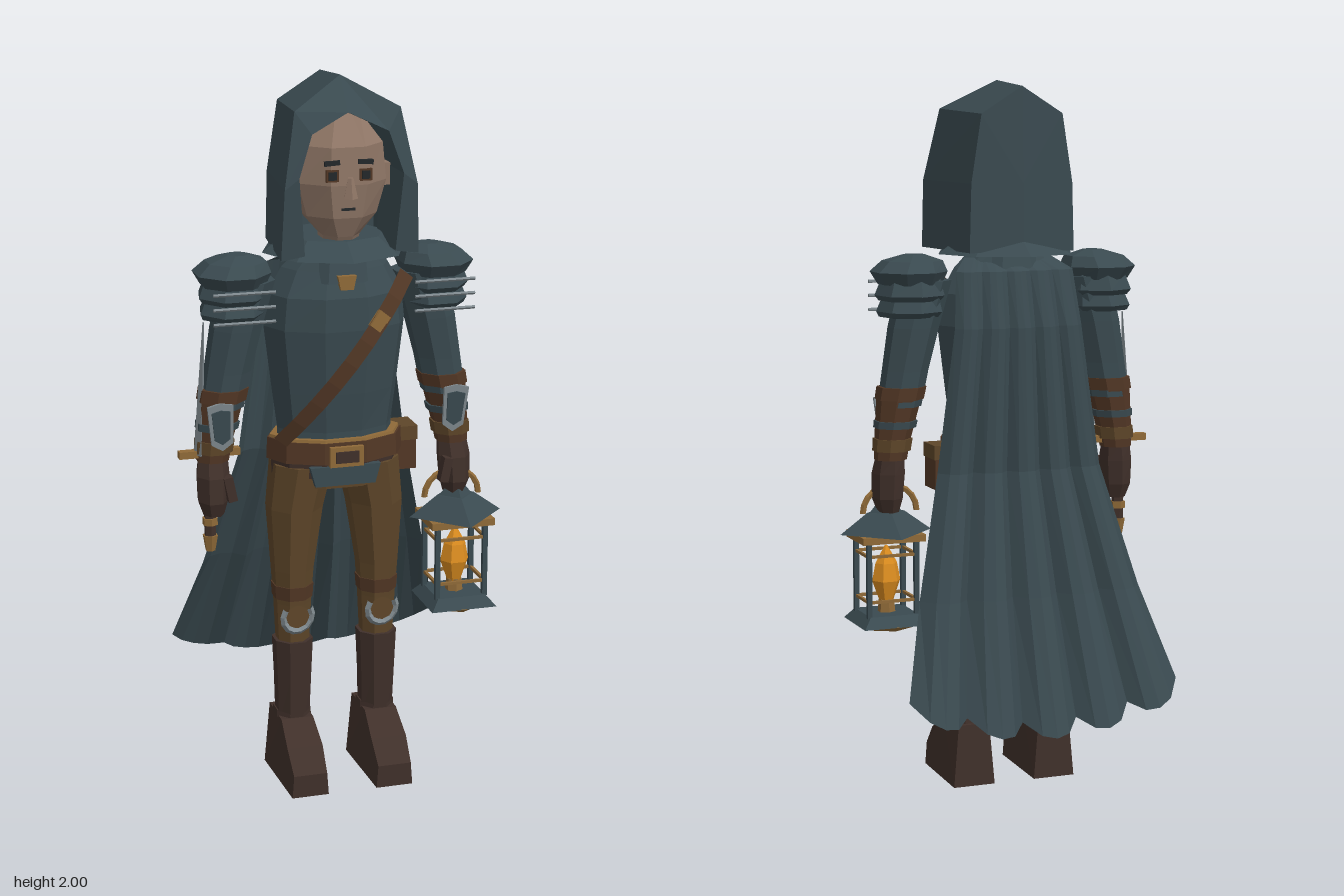
import * as THREE from 'three';

const mat = (name, color, side = THREE.FrontSide) => {
  const m = new THREE.MeshStandardMaterial({ color, side });
  m.name = name;
  return m;
};
const CX = -0.025; // body centre line

export function createModel() {
  const cloth = mat('slate cloth', 0x3a4a50, THREE.DoubleSide);
  const pants = mat('brown cloth', 0x5e4629);
  const boot = mat('dark leather', 0x40302a);
  const leather = mat('leather', 0x523725, THREE.DoubleSide);
  const tan = mat('brass', 0x8f6a38);
  const steel = mat('steel', 0x7f898e);
  const skin = mat('skin', 0x8f7666);
  const flame = mat('flame', 0xdc8d20);
  const dark = mat('dark', 0x23282a);
  const root = new THREE.Group();
  root.name = 'hoodedTraveller';

  const add = (name, geo, m, x = 0, y = 0, z = 0, parent = root) => {
    const g = geo.index ? geo.toNonIndexed() : geo;
    g.computeVertexNormals();
    const mesh = new THREE.Mesh(g, m);
    mesh.name = name;
    mesh.position.set(x, y, z);
    parent.add(mesh);
    return mesh;
  };
  const box = (w, h, d) => new THREE.BoxGeometry(w, h, d);
  const cyl = (a, b, h, n = 8) => new THREE.CylinderGeometry(a, b, h, n);

  // Faceted solid through rings [y, cx, cz, rx, rz], listed bottom to top
  const loft = (rings, n = 8, phase = 0.5) => {
    const v = [];
    const P = ([y, cx, cz, rx, rz], j) => {
      const a = ((j + phase) / n) * Math.PI * 2;
      return [cx + rx * Math.sin(a), y, cz + rz * Math.cos(a)];
    };
    const lo = rings[0], hi = rings[rings.length - 1];
    for (let j = 0; j < n; j++) {
      for (let i = 0; i < rings.length - 1; i++) {
        const a = P(rings[i], j), b = P(rings[i], j + 1), c = P(rings[i + 1], j + 1), d = P(rings[i + 1], j);
        v.push(...a, ...b, ...c, ...a, ...c, ...d);
      }
      v.push(lo[1], lo[0], lo[2], ...P(lo, j + 1), ...P(lo, j));
      v.push(hi[1], hi[0], hi[2], ...P(hi, j), ...P(hi, j + 1));
    }
    return fromTriangles(v);
  };
  const fromTriangles = v => new THREE.BufferGeometry().setAttribute('position', new THREE.Float32BufferAttribute(v, 3));
  // Sheet through rows of points
  const sheet = rows => {
    const v = [];
    for (let i = 0; i < rows.length - 1; i++)
      for (let k = 0; k < rows[i].length - 1; k++) {
        const a = rows[i][k], b = rows[i + 1][k], c = rows[i + 1][k + 1], d = rows[i][k + 1];
        v.push(...a, ...b, ...c, ...a, ...c, ...d);
      }
    return fromTriangles(v);
  };
  const body = rings => rings.map(([y, rx, rz, cz = 0.11]) => [y, CX, cz, rx, rz]);
  const plate = (pts, depth) => new THREE.ExtrudeGeometry(
    new THREE.Shape(pts.map(p => new THREE.Vector2(...p))), { depth, bevelEnabled: false });

  // Torso, hips and belt
  add('tunic', loft(body([[0.95, 0.165, 0.1], [1.03, 0.163, 0.1], [1.14, 0.178, 0.115], [1.32, 0.2, 0.134],
    [1.41, 0.19, 0.13], [1.48, 0.15, 0.1], [1.55, 0.08, 0.08]]), 10), cloth);
  add('hips', loft(body([[0.87, 0.165, 0.1], [0.96, 0.17, 0.105]]), 10), pants);
  add('belt', loft(body([[0.945, 0.195, 0.122], [1.005, 0.192, 0.12]]), 10), leather);
  add('lowerBelt', loft(body([[0.9, 0.18, 0.108], [0.95, 0.182, 0.112]]), 10), boot);
  add('beltEdge', loft(body([[1.003, 0.187, 0.116], [1.013, 0.185, 0.114]]), 10), tan);
  add('buckle', box(0.095, 0.056, 0.02), tan, CX, 0.968, 0.228);
  add('buckleInset', box(0.066, 0.032, 0.006), boot, CX, 0.968, 0.24);
  add('beltFlap', plate([[-0.1, 0.03], [-0.085, -0.025], [0.085, -0.025], [0.1, 0.03]], 0.02), cloth, CX, 0.908, 0.203);
  add('pouch', box(0.06, 0.12, 0.085), leather, 0.19, 0.93, 0.05);
  add('pouchFlap', box(0.066, 0.04, 0.091), pants, 0.19, 0.975, 0.05);
  add('clasp', plate([[-0.026, 0.02], [-0.018, -0.018], [0.018, -0.018], [0.026, 0.02]], 0.02), tan, CX, 1.452, 0.215);

  // Strap across the chest, bulging with it
  const strapRows = [-1, 1].map(s => Array.from({ length: 9 }, (_, i) => {
    const t = i / 8, x = -0.2 + 0.355 * t, y = 1.01 + 0.45 * t;
    const u = (x - CX) / 0.21;
    return [x - s * 0.018, y + s * 0.014, 0.115 + (0.105 + 0.03 * Math.sin(t * 2.6)) * Math.sqrt(Math.max(0.05, 1 - u * u)) + 0.014];
  }));
  add('chestStrap', sheet([strapRows[1], strapRows[0]]), leather);
  const strapBuckle = add('strapBuckle', box(0.05, 0.04, 0.014), tan, 0.062, 1.345, 0.246);
  strapBuckle.rotation.set(0, 0.25, 0.9);

  // Head and face
  add('head', loft([[1.5, CX, 0.12, 0.05, 0.06], [1.575, CX, 0.15, 0.055, 0.07], [1.63, CX, 0.14, 0.105, 0.106],
    [1.72, CX, 0.14, 0.132, 0.118], [1.82, CX, 0.14, 0.122, 0.112], [1.9, CX, 0.13, 0.06, 0.07]]), skin);
  for (const s of [-1, 1]) {
    const x = CX + s * 0.046;
    add('eyeFrame', box(0.034, 0.032, 0.008), leather, x, 1.747, 0.246);
    add('eye', box(0.022, 0.022, 0.006), dark, x, 1.747, 0.25);
    add('eyebrow', box(0.042, 0.013, 0.009), dark, x, 1.781, 0.245).rotation.z = -s * 0.06;
    add('ear', box(0.02, 0.06, 0.04), skin, CX + s * 0.128, 1.73, 0.15);
  }
  add('nose', cyl(0.008, 0.02, 0.055, 5), skin, CX, 1.715, 0.26);
  add('mouth', box(0.038, 0.007, 0.008), dark, CX, 1.655, 0.24);

  // Hood: arches from the back centre, over the outside, round the rim and inside
  const arch = half => [...half.slice(1).reverse().map(([x, y, z]) => [CX - x, y, z]),
    ...half.map(([x, y, z]) => [CX + x, y, z])];
  add('hood', sheet([
    arch([[0, 1.72, -0.04], [0, 1.72, -0.04], [0, 1.7, -0.04], [0, 1.53, -0.04]]),
    arch([[0, 1.985, -0.03], [0.12, 1.91, -0.03], [0.15, 1.72, -0.03], [0.155, 1.53, -0.03]]),
    arch([[0, 2.0, 0.163], [0.145, 1.92, 0.235], [0.182, 1.72, 0.272], [0.19, 1.53, 0.262]]),
    arch([[0, 1.912, 0.24], [0.105, 1.862, 0.262], [0.143, 1.75, 0.275], [0.125, 1.54, 0.262]]),
    arch([[0, 1.905, 0.09], [0.105, 1.855, 0.09], [0.14, 1.75, 0.09], [0.125, 1.54, 0.09]])]), cloth);
  add('collar', loft(body([[1.52, 0.2, 0.198, 0.1], [1.565, 0.14, 0.13, 0.1]]), 8, 0), cloth);
  add('scarf', loft(body([[1.45, 0.13, 0.125], [1.525, 0.1, 0.1]]), 8), cloth);

  // Pleated cape: rows of [y, half width, valley z, pleat depth]
  const capeRows = [[1.51, 0.13, 0.05, 0], [1.475, 0.175, -0.005, 0.012], [1.32, 0.19, -0.035, 0.02], [0.92, 0.245, -0.04, 0.035],
    [0.58, 0.33, -0.125, 0.05], [0.21, 0.4, -0.235, 0.06]];
  add('cape', sheet(capeRows.map(([y, half, z, pleat], r) => Array.from({ length: 21 }, (_, k) => {
    const u = 1 - k / 10, out = [0, 0.8, 1, 0.8][k % 4];
    const hem = r === 5 ? 0.08 * u * u + 0.035 * (1 - out) : 0;
    return [CX + u * half, y + hem, z - pleat * out + 0.03 * u * u];
  }))), cloth);

  // Legs and boots
  for (const s of [-1, 1]) {
    const leg = new THREE.Group();
    leg.name = s > 0 ? 'leftLeg' : 'rightLeg';
    leg.position.x = CX + s * 0.123;
    root.add(leg);
    const part = (name, rings, m) => add(name, loft(rings.map(([y, rx, rz, cz = 0.11, cx = 0]) => [y, -s * cx, cz, rx, rz])), m, 0, 0, 0, leg);
    part('trouser', [[0.39, 0.047, 0.05], [0.52, 0.053, 0.057], [0.62, 0.06, 0.066], [0.8, 0.08, 0.088, 0.105, 0.008],
      [0.93, 0.09, 0.1, 0.105, 0.03]], pants);
    part('kneeBand', [[0.535, 0.057, 0.061], [0.575, 0.06, 0.065]], leather);
    part('bootShaft', [[0.16, 0.048, 0.055, 0.105], [0.3, 0.053, 0.057], [0.41, 0.058, 0.062]], boot);
    part('ankleBand', [[0.175, 0.054, 0.062, 0.1], [0.195, 0.053, 0.06, 0.1]], boot);
    const guard = add('kneeGuard', new THREE.TorusGeometry(0.04, 0.009, 4, 9, Math.PI * 1.35), steel, 0, 0.49, 0.168, leg);
    guard.rotation.z = -Math.PI * 1.175;
    guard.scale.y = 1.1;
    add('kneePlate', new THREE.CircleGeometry(0.034, 8), pants, 0, 0.49, 0.17, leg);
    const foot = plate([[0.027, 0], [0.297, 0], [0.297, 0.065], [0.24, 0.125], [0.16, 0.18], [0.03, 0.18]], 0.124);
    foot.translate(0, 0, -0.062).rotateY(-Math.PI / 2);
    const p = foot.attributes.position;
    for (let i = 0; i < p.count; i++)
      p.setX(i, p.getX(i) * (1 - 1.4 * p.getY(i)) * (p.getZ(i) > 0.28 ? 0.85 : 1));
    add('boot', foot, boot, 0, 0, 0, leg);
  }

  // Arms, shoulder guards and bracers
  const shield = k => [[-0.036, 0.06], [0, 0.068], [0.036, 0.06], [0.03, -0.05], [0, -0.07], [-0.03, -0.05]].map(([x, y]) => [x * k, y * k]);
  for (const s of [-1, 1]) {
    const arm = new THREE.Group();
    arm.name = s > 0 ? 'leftArm' : 'rightArm';
    arm.position.x = CX;
    root.add(arm);
    const part = (name, m, rings, n = 8) => add(name, loft(rings.map(([y, d, rx, rz = rx, cz = 0.1]) => [y, s * d, cz, rx, rz]), n), m, 0, 0, 0, arm);
    part('sleeve', cloth, [[1.1, 0.318, 0.062], [1.2, 0.3, 0.065], [1.32, 0.275, 0.072], [1.45, 0.24, 0.075]]);
    part('forearm', leather, [[0.95, 0.345, 0.046], [1.0, 0.34, 0.05], [1.13, 0.318, 0.064]]);
    part('elbowBand', leather, [[1.12, 0.318, 0.069], [1.155, 0.311, 0.07]]);
    part('wristBand', pants, [[0.975, 0.342, 0.054], [1.01, 0.338, 0.056]]);
    part('bracerBand', cloth, [[1.04, 0.332, 0.06], [1.06, 0.329, 0.062]]);
    part('hand', boot, [[0.8, 0.348, 0.03, 0.04, 0.115], [0.84, 0.35, 0.043, 0.056, 0.115], [0.91, 0.348, 0.047, 0.055, 0.11], [0.96, 0.345, 0.042]], 7);
    add('thumb', box(0.025, 0.07, 0.03), boot, s * 0.31, 0.88, 0.155, arm).rotation.z = -s * 0.2;
    const bracer = new THREE.Group();
    bracer.name = 'bracer';
    bracer.position.set(s * 0.333, 1.06, 0.155);
    bracer.rotation.set(0.08, 0, -s * 0.06);
    arm.add(bracer);
    add('bracerRim', plate(shield(1), 0.009), steel, 0, 0, 0, bracer);
    add('bracerPlate', plate(shield(0.72), 0.006), cloth, 0, 0, 0.007, bracer);
    part('shoulderLayerLow', cloth, [[1.35, 0.287, 0.085], [1.365, 0.285, 0.094, 0.1], [1.41, 0.28, 0.08]], 7);
    part('shoulderLayerMid', cloth, [[1.395, 0.284, 0.088], [1.41, 0.283, 0.1, 0.104], [1.455, 0.28, 0.085]], 7);
    part('shoulderGuard', cloth, [[1.44, 0.283, 0.09, 0.09, 0.105], [1.475, 0.286, 0.108, 0.114, 0.105], [1.505, 0.275, 0.085, 0.085, 0.105], [1.522, 0.27, 0.03, 0.03, 0.105]], 8);
    for (let i = 0; i < 3; i++)
      add('shoulderRod', cyl(0.005, 0.005, 0.17, 5), steel, s * 0.28, 1.36 + i * 0.04, 0.222, arm).rotation.z = Math.PI / 2;
  }

  // Dagger held point up along the right forearm
  const dagger = new THREE.Group();
  dagger.name = 'dagger';
  dagger.position.set(-0.38, 0, 0.105);
  root.add(dagger);
  add('grip', cyl(0.017, 0.017, 0.24, 6), boot, 0, 0.85, 0, dagger);
  add('pommel', cyl(0.022, 0.014, 0.045, 6), tan, 0, 0.712, 0, dagger);
  add('gripRing', cyl(0.022, 0.022, 0.02, 6), tan, 0, 0.775, 0, dagger);
  add('crossGuard', box(0.17, 0.02, 0.024), tan, 0, 0.972, 0, dagger);
  const blade = add('blade', cyl(0.004, 0.028, 0.37, 4), steel, -0.02, 1.155, 0, dagger);
  blade.scale.x = 0.5;
  blade.rotation.z = -0.05;

  // Lantern hanging from the left hand
  const lantern = new THREE.Group();
  lantern.name = 'lantern';
  lantern.position.set(0.325, 0, 0.13);
  root.add(lantern);
  add('lanternRoof', cyl(0.055, 0.135, 0.058, 4), cloth, 0, 0.767, 0, lantern);
  add('lanternCap', cyl(0.03, 0.05, 0.025, 4), cloth, 0, 0.805, 0, lantern);
  add('lanternTopPlate', box(0.185, 0.02, 0.155), tan, 0, 0.728, 0, lantern);
  const base = cyl(0.1, 0.135, 0.03, 4).rotateY(Math.PI / 4);
  add('lanternBase', base, cloth, 0, 0.495, 0, lantern);
  add('lanternFoot', cyl(0.1, 0.08, 0.014, 6), tan, 0, 0.474, 0, lantern);
  for (const x of [-1, 1]) {
    for (const z of [-1, 1]) add('lanternPost', box(0.014, 0.22, 0.014), cloth, x * 0.07, 0.615, z * 0.058, lantern);
    for (const y of [0.55, 0.68]) {
      add('lanternSideRail', box(0.008, 0.008, 0.116), tan, x * 0.07, y, 0, lantern);
      add('lanternRail', box(0.14, 0.008, 0.008), tan, 0, y, x * 0.058, lantern);
    }
  }
  add('candle', cyl(0.022, 0.026, 0.04, 6), tan, 0, 0.525, 0, lantern);
  add('flame', loft([[0.54, 0, 0, 0.02, 0.02], [0.6, 0, 0, 0.042, 0.04], [0.65, 0, 0, 0.032, 0.03], [0.7, 0, 0, 0.004, 0.004]], 6), flame, 0, 0, 0, lantern);
  const handle = add('lanternHandle', new THREE.TorusGeometry(0.08, 0.009, 5, 10, Math.PI), tan, -0.012, 0.795, 0, lantern);
  handle.scale.y = 0.95;
  return root;
}
